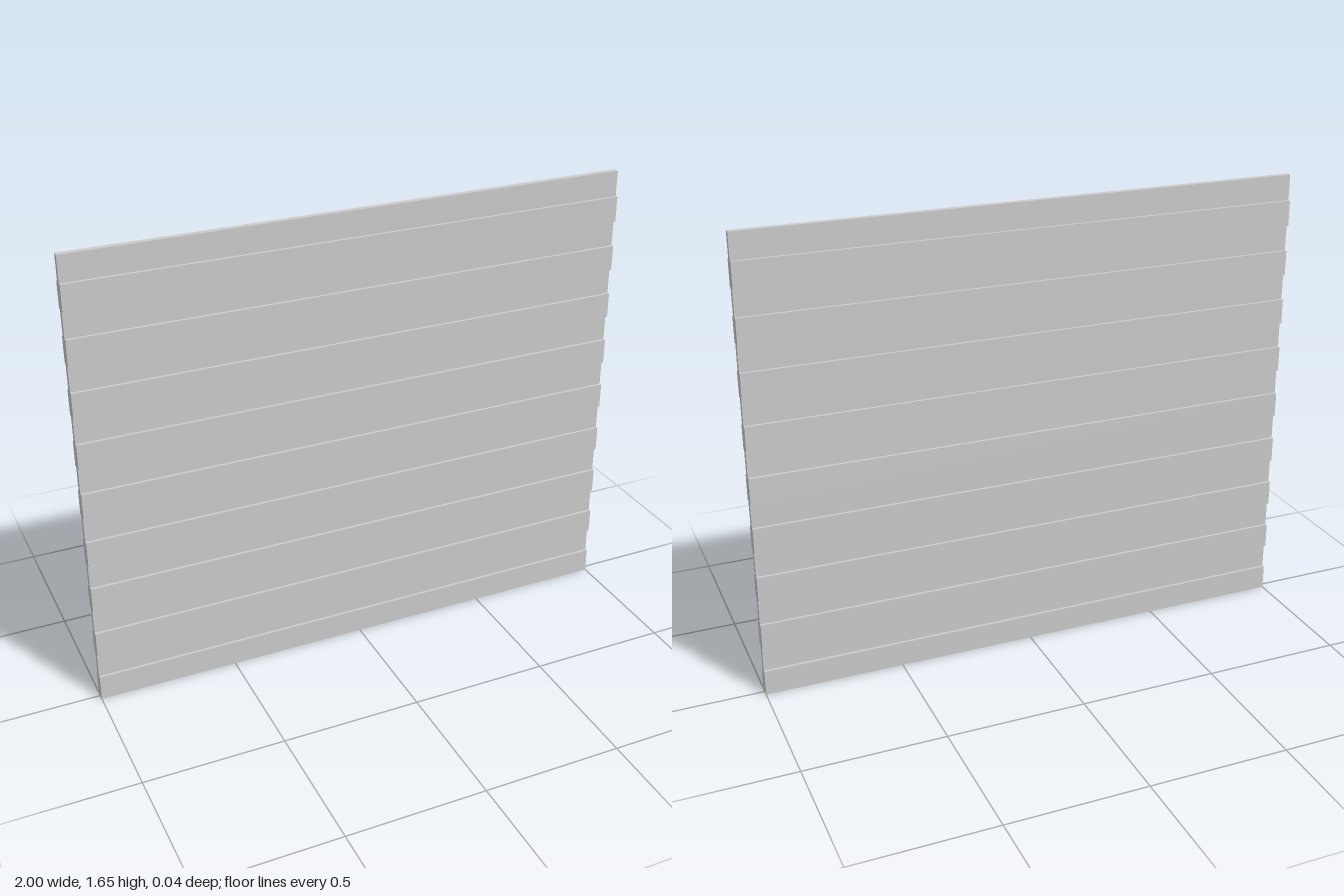
import * as THREE from 'three';

const WIDTH = 2;
const HEIGHT = 1.655;
const COUNT = 18; // alternating thick and thin boards
const PITCH = HEIGHT / COUNT;

export function createModel() {
  const group = new THREE.Group();
  group.name = 'slattedPanel';
  const material = new THREE.MeshStandardMaterial({ color: 0xcccccc, flatShading: true });

  // Horizontal boards stacked from the ground, thick one first
  const thick = new THREE.BoxGeometry(WIDTH, PITCH, 0.042);
  const thin = new THREE.BoxGeometry(WIDTH, PITCH, 0.021);
  for (let i = 0; i < COUNT; i++) {
    const isThick = i % 2 === 0;
    const board = new THREE.Mesh(isThick ? thick : thin, material);
    board.name = (isThick ? 'thickBoard' : 'thinBoard') + (Math.floor(i / 2) + 1);
    board.position.y = (i + 0.5) * PITCH;
    group.add(board);
  }
  return group;
}
